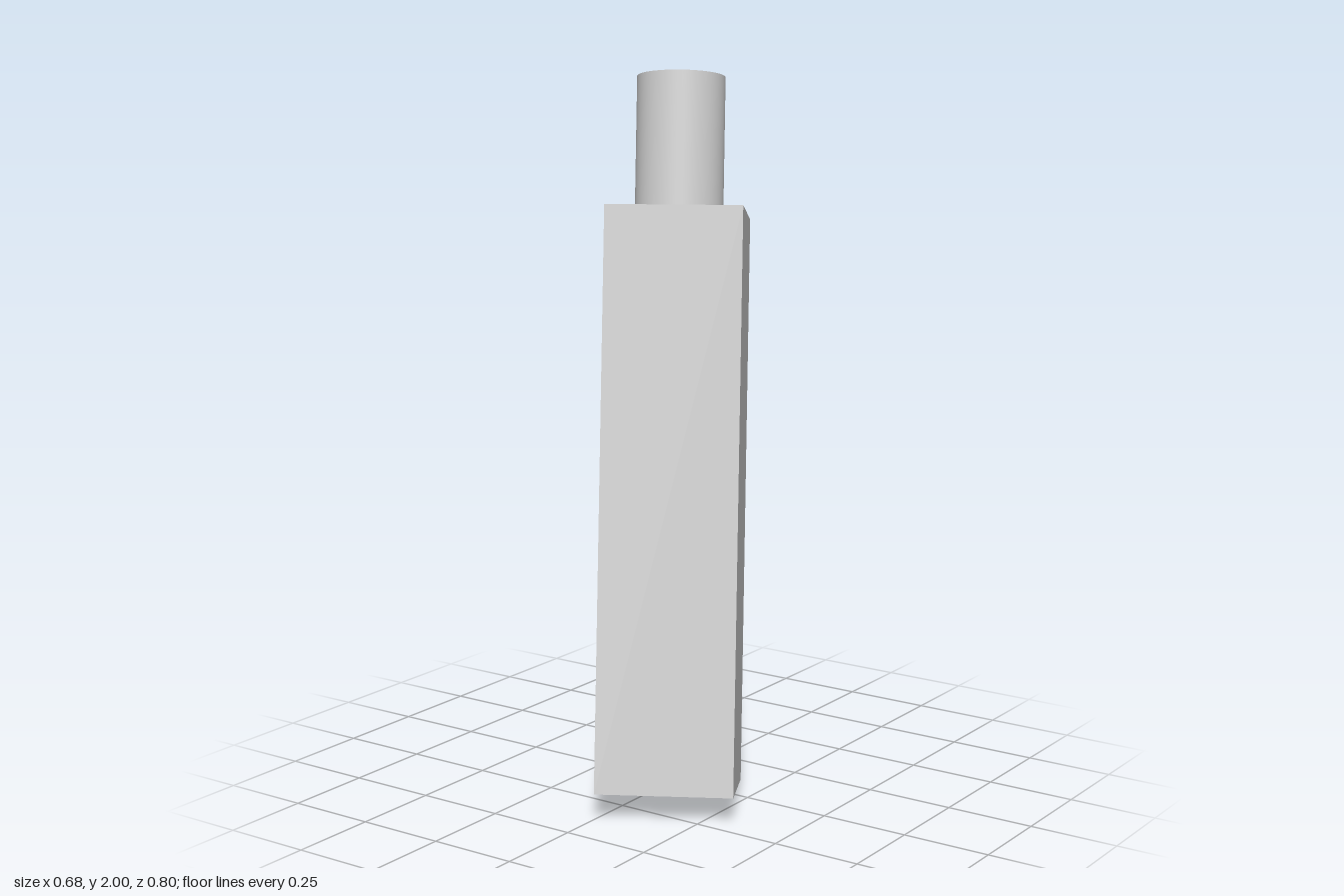
import * as THREE from 'three';

export function createModel() {
  const grey = new THREE.MeshStandardMaterial({ color: 0xcccccc });
  grey.name = 'light grey';

  const width = 0.378, bodyHeight = 1.601, neckHeight = 0.377, neckRadius = 0.1235;
  const model = new THREE.Group();
  model.name = 'leaningBottle';

  const addPart = (name, geometry, y) => {
    const mesh = new THREE.Mesh(geometry, grey);
    mesh.name = name;
    mesh.position.y = y;
    tilted.add(mesh);
  };

  // Shared frame at the centre of the base: turned 30 degrees, leaning back 12
  const tilted = new THREE.Group();
  tilted.name = 'tiltedBody';
  tilted.rotation.set(THREE.MathUtils.degToRad(-12), THREE.MathUtils.degToRad(30), 0, 'YXZ');
  tilted.position.set(0.082, 0.0393, 0.142);
  model.add(tilted);

  // Square body and round neck
  addPart('body', new THREE.BoxGeometry(width, bodyHeight, width), bodyHeight / 2);
  addPart('neck', new THREE.CylinderGeometry(neckRadius, neckRadius, neckHeight, 48), bodyHeight + neckHeight / 2);

  return model;
}
